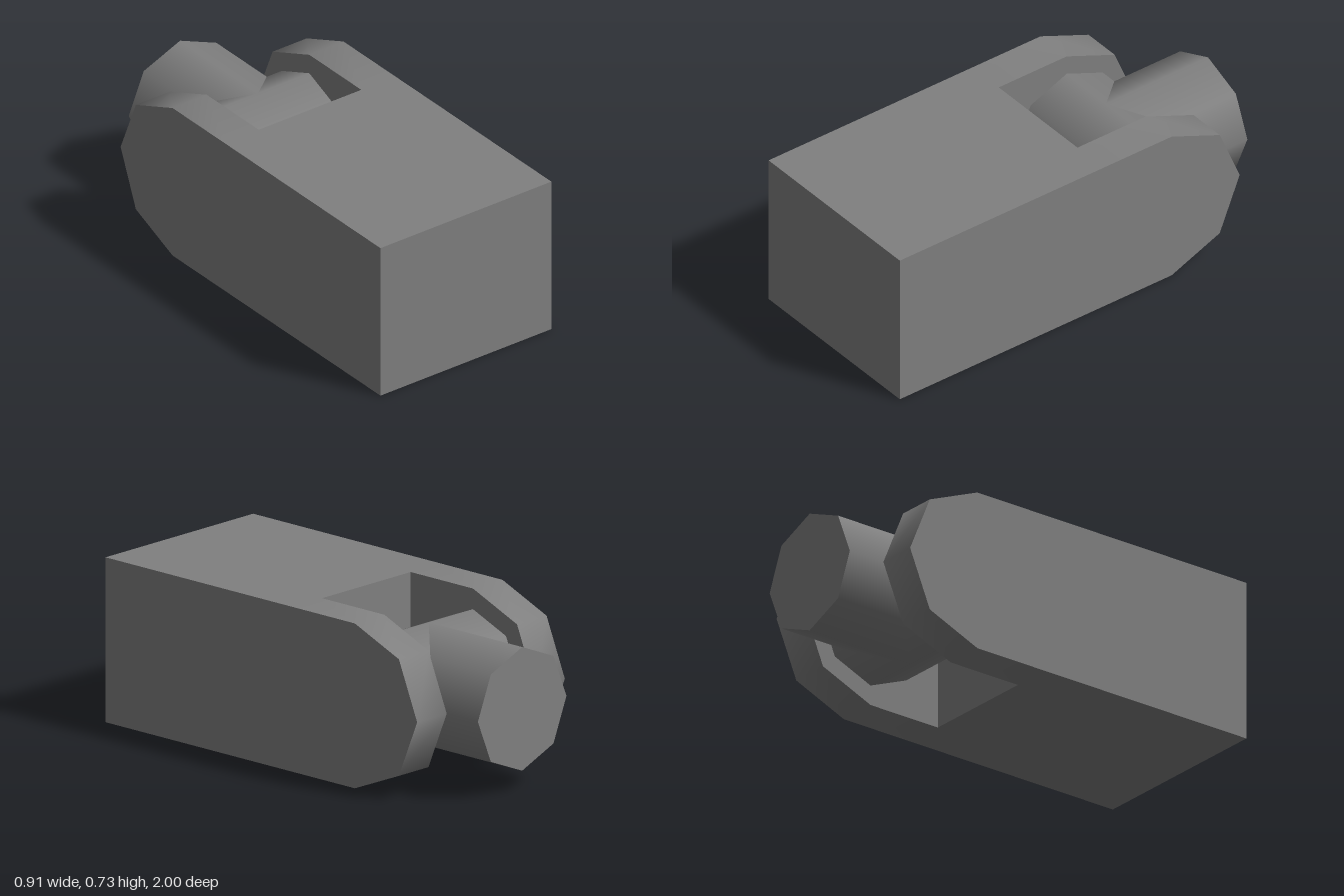
import * as THREE from 'three';
import { toCreasedNormals } from 'three/addons/utils/BufferGeometryUtils.js';

const HALF_W = 0.4545;   // half width of the body
const SLOT = 0.2727;     // half width of the slot, and radius of pin and rod
const R = 0.3636;        // radius of the rounded fork ends
const PIVOT_Z = -0.4545; // hinge axis
const SLOT_Z = -0.091;   // floor of the slot
const FRONT_Z = 1;

export function createModel() {
  const group = new THREE.Group();
  const grey = new THREE.MeshStandardMaterial({ color: 0x808080 });
  grey.name = 'grey';

  const add = (name, geometry) => {
    const mesh = new THREE.Mesh(geometry, grey);
    mesh.name = name;
    group.add(mesh);
    return mesh;
  };

  // Solid block in front of the slot
  const length = FRONT_Z - SLOT_Z;
  add('body', new THREE.BoxGeometry(HALF_W * 2, R * 2, length))
    .position.set(0, R, SLOT_Z + length / 2);

  // Two fork arms with faceted round ends, drawn in side profile (-z, y)
  const profile = new THREE.Shape();
  profile.moveTo(-SLOT_Z, 0);
  for (let i = 0; i <= 4; i++) {
    const a = -Math.PI / 2 + i * Math.PI / 4;
    profile.lineTo(-PIVOT_Z + R * Math.cos(a), R + R * Math.sin(a));
  }
  profile.lineTo(-SLOT_Z, R * 2);
  profile.closePath();
  const arm = toCreasedNormals(
    new THREE.ExtrudeGeometry(profile, { depth: HALF_W - SLOT, bevelEnabled: false }).rotateY(Math.PI / 2),
    0.9
  );
  add('leftForkArm', arm).position.x = SLOT;
  add('rightForkArm', arm).position.x = -HALF_W;

  // Hinge pin across the slot
  add('hingePin', new THREE.CylinderGeometry(SLOT, SLOT, SLOT * 2, 8).rotateZ(Math.PI / 2))
    .position.set(0, R, PIVOT_Z);

  // Rod leaving the hinge to the back
  const rodLength = 1 + PIVOT_Z;
  add('rod', new THREE.CylinderGeometry(SLOT, SLOT, rodLength, 8).rotateX(-Math.PI / 2))
    .position.set(0, R, PIVOT_Z - rodLength / 2);

  return group;
}
